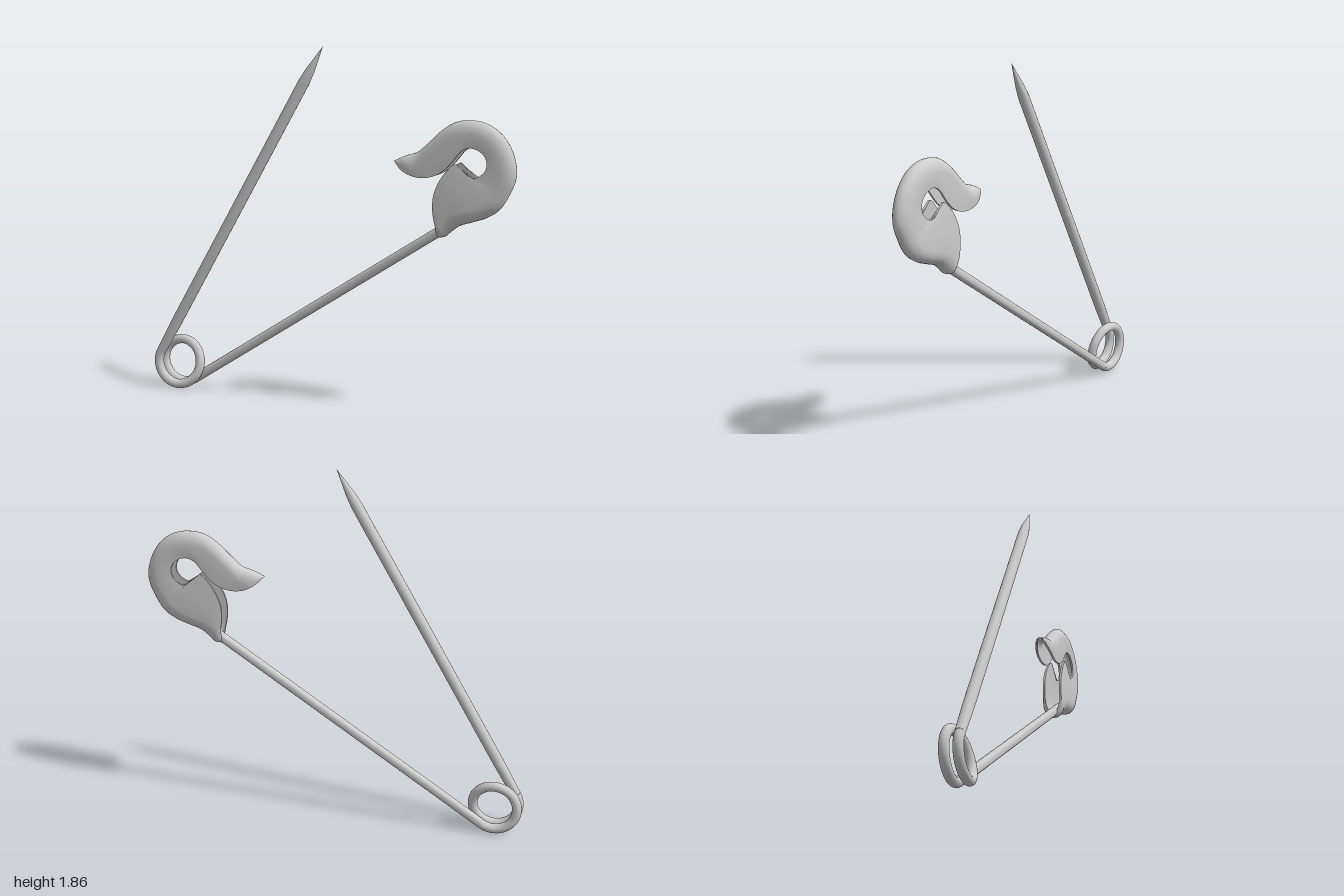
import * as THREE from 'three';
import { toCreasedNormals } from 'three/addons/utils/BufferGeometryUtils.js';

const V = (x, y, z = 0) => new THREE.Vector3(x, y, z);
const metal = new THREE.MeshStandardMaterial({ color: 0xcccccc });
const sheet = new THREE.MeshStandardMaterial({ color: 0xcccccc, side: THREE.DoubleSide });

// Coil centre, radius, and depth of the needle and the fixed arm
const CX = -0.857, CY = 0.143, R = 0.118, NEEDLE_Z = 0.047, ARM_Z = -0.02, WIRE = 0.025;
const START = THREE.MathUtils.degToRad(149.4), END = THREE.MathUtils.degToRad(303 + 360);

function named(name, geometry, material = metal) {
  const mesh = new THREE.Mesh(geometry, material);
  mesh.name = name;
  return mesh;
}

// Point on the coil, moving from the needle's depth to the arm's depth
function coilPoint(a) {
  const k = THREE.MathUtils.smoothstep(a, Math.PI * 1.4, Math.PI * 2.65);
  return V(CX + R * Math.cos(a), CY + R * Math.sin(a), THREE.MathUtils.lerp(NEEDLE_Z, ARM_Z, k));
}

// Round rod between two points; profile is [radius, distance from start, distance from end]
function rod(name, from, to, profile) {
  const length = from.distanceTo(to);
  const points = profile.map(([r, f]) => new THREE.Vector2(r, f * length));
  const mesh = named(name, toCreasedNormals(new THREE.LatheGeometry(points, 16), 0.5));
  mesh.position.copy(from);
  mesh.quaternion.setFromUnitVectors(V(0, 1, 0), to.clone().sub(from).normalize());
  return mesh;
}

// Clasp stations: outer x, y and inner x, y, from hook tip round to foot
const stations = [
  [0.366, 1.294, 0.372, 1.289], [0.425, 1.321, 0.414, 1.251],
  [0.489, 1.342, 0.468, 1.225], [0.553, 1.396, 0.532, 1.217],
  [0.623, 1.460, 0.602, 1.235], [0.687, 1.497, 0.655, 1.273],
  [0.757, 1.508, 0.693, 1.316], [0.837, 1.497, 0.730, 1.358],
  [0.910, 1.455, 0.778, 1.374], [0.965, 1.385, 0.832, 1.353],
  [0.995, 1.299, 0.858, 1.310], [0.995, 1.225, 0.848, 1.262],
  [0.965, 1.150, 0.783, 1.225], [0.917, 1.075, 0.703, 1.294],
  [0.853, 1.032, 0.660, 1.262], [0.778, 1.005, 0.618, 1.203],
  [0.714, 0.984, 0.591, 1.134], [0.671, 0.952, 0.586, 1.064],
  [0.639, 0.925, 0.596, 0.995], [0.607, 0.920, 0.602, 0.925],
];

// Folded U section: distance from the inner edge and depth, outside layer then inside layer
function foldSection(w, h) {
  const r = Math.min(0.07, w * 0.6), t = Math.min(0.012, w * 0.25), arc = 12;
  const layer = (off) => {
    const H = h - Math.min(off, h * 0.4), pts = [[0, H * 0.92], [(w - r) / 2, H]];
    for (let j = 0; j <= arc; j++) {
      const a = (Math.PI * j) / arc;
      pts.push([w - r + (r - off) * Math.sin(a), H * Math.cos(a)]);
    }
    pts.push([(w - r) / 2, -H], [0, -H * 0.92]);
    return pts;
  };
  return [...layer(0), ...layer(t).reverse()];
}

function claspGeometry() {
  const outer = new THREE.CatmullRomCurve3(stations.map((s) => V(s[0], s[1])));
  const inner = stations.map((s) => V(s[2], s[3]));
  const innerCurve = new THREE.CatmullRomCurve3(inner);
  const sub = 4, count = (stations.length - 1) * sub;
  const positions = [], index = [];
  let n = 0;
  for (let i = 0; i <= count; i++) {
    const t = i / count, seg = Math.min(Math.floor(i / sub), stations.length - 2);
    const O = outer.getPoint(t);
    // Straight edges beside the notch corners, smooth elsewhere
    const I = seg === 12
      ? inner[seg].clone().lerp(inner[seg + 1], i / sub - seg)
      : innerCurve.getPoint(t);
    const w = O.distanceTo(I), dir = O.clone().sub(I).normalize();
    const full = 0.047 + 0.01 * THREE.MathUtils.smoothstep(t, 0.62, 0.8);
    const h = full * Math.min(1, Math.sqrt(w / 0.1));
    const ring = foldSection(w, h);
    n = ring.length;
    for (const [s, z] of ring) positions.push(I.x + dir.x * s, I.y + dir.y * s, ARM_Z + z);
  }
  for (let i = 0; i < count; i++) {
    for (let j = 0; j < n; j++) {
      const a = i * n + j, b = i * n + ((j + 1) % n), c = a + n, d = b + n;
      index.push(a, c, b, b, c, d);
    }
  }
  const g = new THREE.BufferGeometry();
  g.setAttribute('position', new THREE.Float32BufferAttribute(positions, 3));
  g.setIndex(index);
  return toCreasedNormals(g, 0.8);
}

export function createModel() {
  const model = new THREE.Group();
  model.name = 'safetyPin';

  // Spring coil
  const coilPoints = [];
  for (let i = 0; i <= 60; i++) coilPoints.push(coilPoint(START + ((END - START) * i) / 60));
  const coil = new THREE.CatmullRomCurve3(coilPoints);
  model.add(named('springCoil', new THREE.TubeGeometry(coil, 120, WIRE, 16)));

  // Pointed needle, slightly thicker than the coil wire
  model.add(rod('needle', coilPoint(START), V(0.005, 1.86, NEEDLE_Z),
    [[WIRE, 0], [0.029, 0.1], [0.029, 0.89], [0.023, 0.925], [0, 1]]));

  // Fixed arm running into the clasp
  model.add(rod('fixedArm', coilPoint(END), V(0.7, 1.01, ARM_Z),
    [[WIRE, 0], [WIRE, 1], [0, 1]]));

  // Folded sheet clasp with hook and flap
  model.add(named('clasp', claspGeometry(), sheet));
  return model;
}
